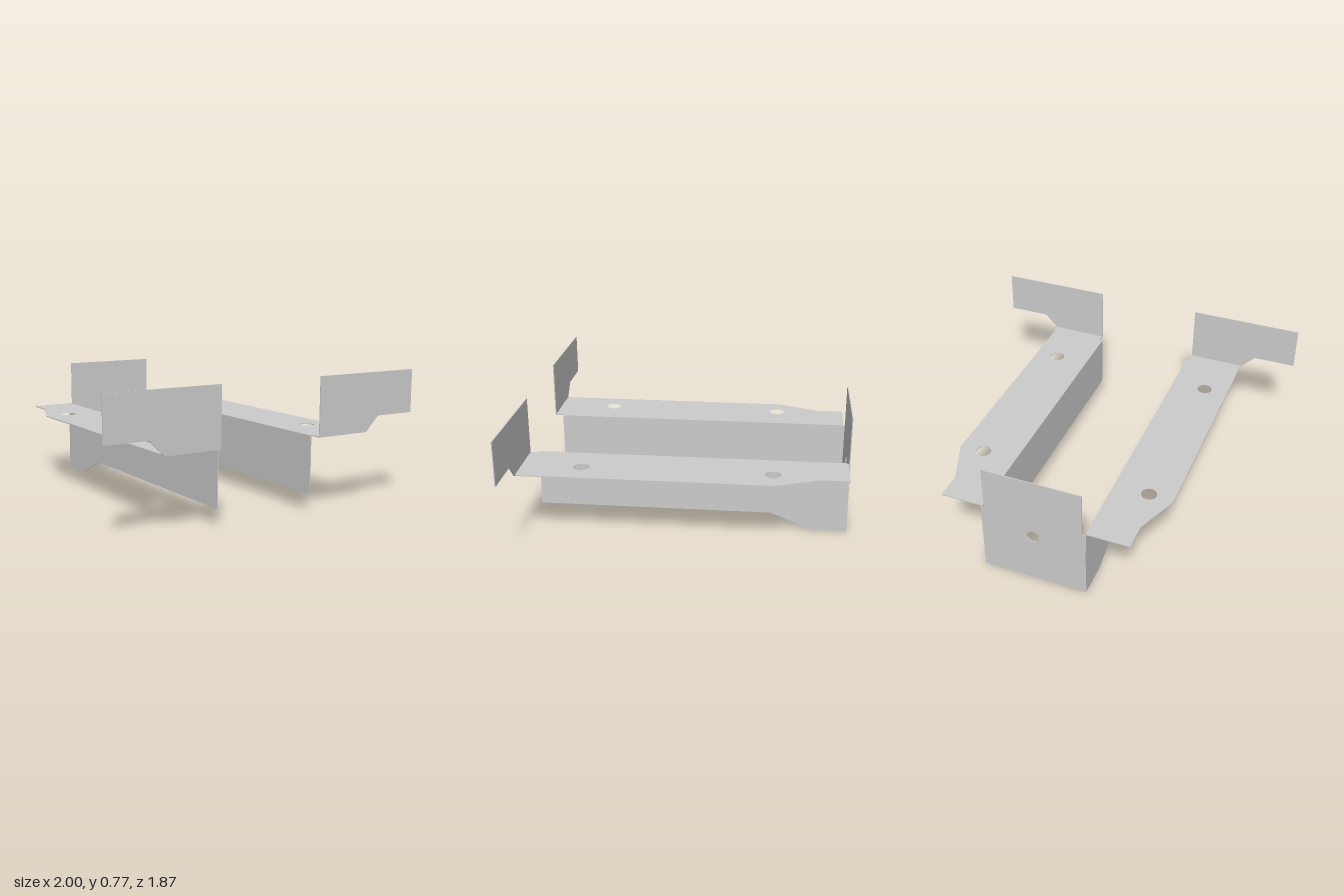
import * as THREE from 'three';

const T = 0.006; // sheet thickness
const material = new THREE.MeshStandardMaterial({ color: 0xcccccc, flatShading: true });

// Flat sheet cut from an outline, with round holes [x, y, radius]
function sheet(points, holes = []) {
  const shape = new THREE.Shape(points.map(([x, y]) => new THREE.Vector2(x, y)));
  for (const [x, y, r] of holes) {
    shape.holes.push(new THREE.Path().absarc(x, y, r, 0, Math.PI * 2, true));
  }
  return new THREE.ExtrudeGeometry(shape, { depth: T, bevelEnabled: false, curveSegments: 32 });
}

export function createModel() {
  const model = new THREE.Group();
  const add = (name, geometry) => {
    const mesh = new THREE.Mesh(geometry, material);
    mesh.name = name;
    model.add(mesh);
  };

  // Back plate with a narrower upper tab and a centre hole
  add('backPlate', sheet([
    [-0.31, 0], [0.31, 0], [0.31, 0.433], [0.29, 0.433],
    [0.29, 0.703], [-0.29, 0.703], [-0.29, 0.433], [-0.31, 0.433],
  ], [[0, 0.316, 0.036]]).translate(0, 0, -0.937));

  for (const [side, s] of [['left', 1], ['right', -1]]) {
    const mirror = (pts) => pts.map(([x, ...rest]) => [s * x, ...rest]);

    // Upright side wall, deeper towards the back
    add(side + 'Wall', sheet([
      [0.882, 0.1], [0.882, 0.43], [-0.935, 0.43],
      [-0.935, 0], [-0.735, 0], [-0.49, 0.1],
    ]).rotateY(-Math.PI / 2).translate(s * 0.308 + T / 2, 0, 0));

    // Horizontal flange with two mounting holes
    add(side + 'Flange', sheet(mirror([
      [0.305, -0.925], [0.558, -0.925], [0.558, -0.768], [0.66, -0.51],
      [0.66, 0.934], [0.323, 0.934], [0.323, 0.877], [0.305, 0.877],
    ]), mirror([[0.514, -0.5, 0.045], [0.514, 0.584, 0.045]]))
      .rotateX(Math.PI / 2).translate(0, 0.433, 0));

    // Front ear reaching up and outward
    add(side + 'FrontEar', sheet(mirror([
      [0.323, 0.428], [0.662, 0.428], [0.747, 0.515],
      [1, 0.515], [1, 0.766], [0.323, 0.766],
    ])).translate(0, 0, 0.931));
  }
  return model;
}
